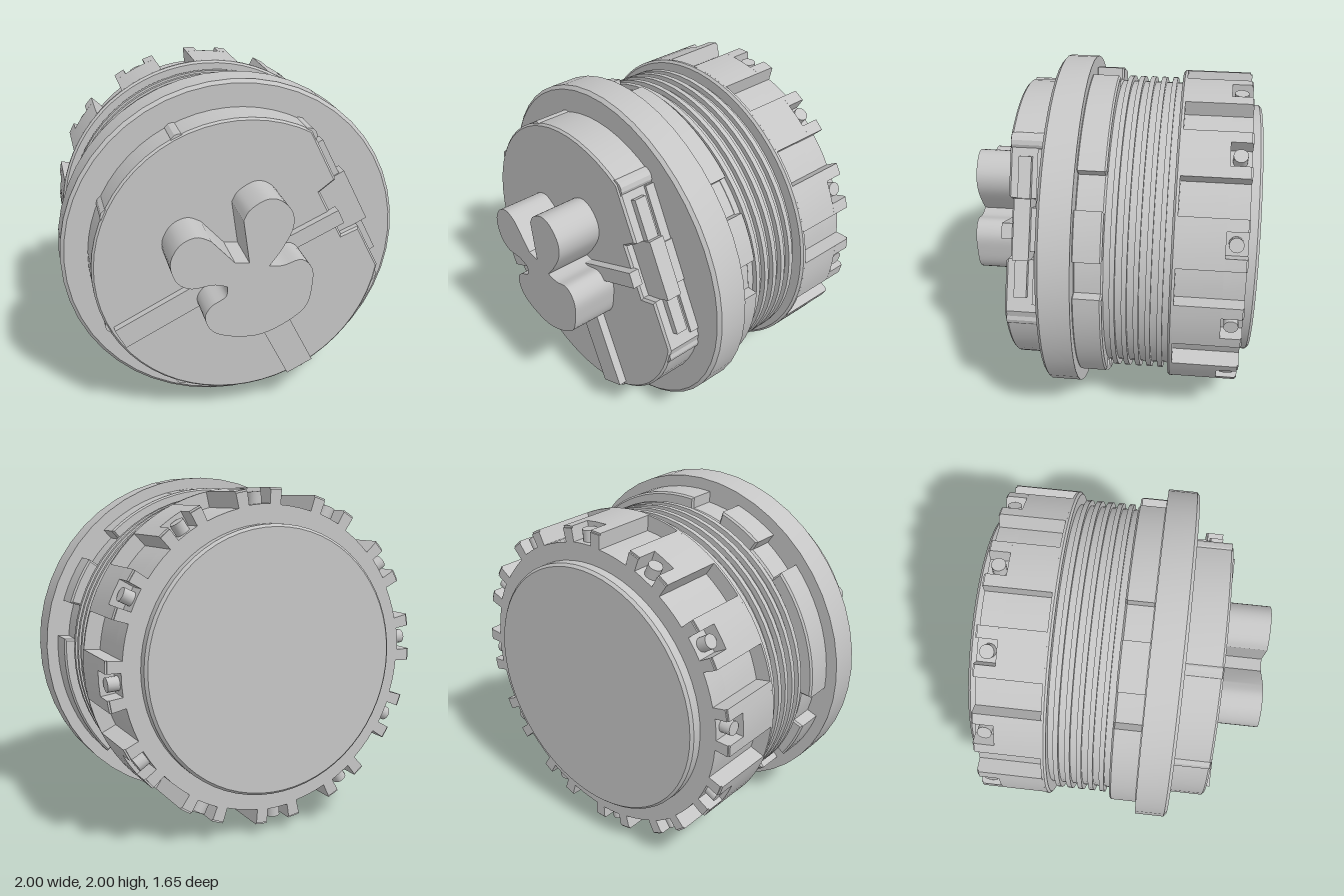
import * as THREE from 'three';
import { toCreasedNormals } from 'three/addons/utils/BufferGeometryUtils.js';

const RAD = Math.PI / 180;

export function createModel() {
  const model = new THREE.Group();
  model.name = 'threadedCap';
  const body = new THREE.Group(); // everything turns about the z axis at y = 1
  body.position.y = 1;
  model.add(body);

  const grey = new THREE.MeshStandardMaterial({ color: 0xc5c5c5 });
  grey.name = 'light grey plastic';

  function add(name, geo, parent = body) {
    const mesh = new THREE.Mesh(toCreasedNormals(geo, 0.5), grey);
    mesh.name = name;
    parent.add(mesh);
    return mesh;
  }
  // Turned part from [radius, z] pairs, z rising
  function turned(name, pts, segs = 48) {
    const geo = new THREE.LatheGeometry(pts.map(p => new THREE.Vector2(p[0], p[1])), segs);
    return add(name, geo.rotateX(Math.PI / 2));
  }
  // Slab of a shape between two z levels, with an optional chamfer
  function slab(name, shape, z0, z1, parent = body, b = 0) {
    const geo = new THREE.ExtrudeGeometry(shape, {
      depth: z1 - z0 - 2 * b, bevelEnabled: b > 0, bevelSize: b, bevelThickness: b,
      bevelOffset: -b, bevelSegments: 1, curveSegments: 10,
    });
    return add(name, geo.translate(0, 0, z0 + b), parent);
  }
  const polar = (r, deg) => new THREE.Vector2(r * Math.cos(deg * RAD), r * Math.sin(deg * RAD));
  // Round outline with notches; cuts are [centre angle, half width, inner radius]
  function notched(r, cuts) {
    const list = [...cuts].sort((p, q) => p[0] - q[0]);
    const pts = [];
    const arc = (rad, a, b) => {
      const n = Math.max(2, Math.ceil((b - a) / 5));
      for (let i = 0; i <= n; i++) pts.push(polar(rad, a + (b - a) * i / n));
    };
    list.forEach(([a, w, rin], i) => {
      const next = list[(i + 1) % list.length];
      const nextStart = next[0] - next[1] + (i === list.length - 1 ? 360 : 0);
      arc(rin, a - w, a + w);
      arc(r, a + w, nextStart);
    });
    return new THREE.Shape(pts);
  }

  // Flange
  turned('flange', [[0, 0.16], [1, 0.16], [1, 0.33], [0.98, 0.347], [0, 0.347]]);

  // Notched collar behind the flange
  const collarCuts = [];
  for (let k = 0; k < 4; k++) collarCuts.push([10.7 + 90 * k, 6.5, 0.87], [40.7 + 90 * k, 6.5, 0.87]);
  slab('collar', notched(0.935, collarCuts), 0, 0.165, body, 0.01);

  // Threaded neck with five rings
  const neck = [[0, -0.37], [0.86, -0.37]];
  for (const z of [-0.31, -0.245, -0.18, -0.115, -0.05]) {
    neck.push([0.86, z - 0.014], [0.89, z - 0.014], [0.89, z + 0.014], [0.86, z + 0.014]);
  }
  neck.push([0.86, 0.01], [0, 0.01]);
  turned('threadedNeck', neck, 60);

  // Castellated rear nut: twelve grip recesses and twelve clip notches
  const grips = [], clips = [];
  for (let k = 0; k < 12; k++) {
    grips.push([10.7 + 30 * k, 6.5, 0.845]);
    clips.push([25.7 + 30 * k, 4.3, 0.85]);
  }
  turned('nutLip', [[0, -0.385], [0.935, -0.385], [0.935, -0.37], [0.922, -0.358], [0, -0.358]], 72);
  slab('nutBody', notched(0.935, grips), -0.64, -0.38);
  slab('nutRear', notched(0.935, [...grips, ...clips]), -0.752, -0.64);
  slab('nutRearEdge', notched(0.925, [...grips, ...clips]), -0.76, -0.75);

  // Round pegs standing in the clip notches
  for (const [a] of clips) {
    const peg = add('clipPeg', new THREE.CylinderGeometry(0.04, 0.04, 0.08, 14));
    const p = polar(0.875, a);
    peg.position.set(p.x, p.y, -0.695);
    peg.rotation.z = (a - 90) * RAD;
  }

  // Rear plate
  turned('rearPlate', [[0, -0.825], [0.73, -0.825], [0.745, -0.81], [0.745, -0.75], [0, -0.75]], 64);

  // Front disc, flattened on one side with a pocket for the latch
  const front = new THREE.Group();
  front.name = 'frontDisc';
  front.rotation.z = 27 * RAD;
  body.add(front);
  const discPts = [];
  for (let i = 0; i <= 48; i++) discPts.push(polar(0.845, 35 + 290 * i / 48));
  for (const [x, y] of [[0.69, -0.19], [0.58, -0.18], [0.58, 0.13], [0.69, 0.15]]) {
    discPts.push(new THREE.Vector2(x, y));
  }
  slab('disc', new THREE.Shape(discPts), 0.335, 0.557, front, 0.012);

  // Box in the disc's turned frame
  function block(name, u0, u1, v0, v1, z0, z1) {
    const geo = new THREE.BoxGeometry(u1 - u0, v1 - v0, z1 - z0);
    add(name, geo.translate((u0 + u1) / 2, (v0 + v1) / 2, (z0 + z1) / 2), front);
  }
  block('latch', 0.57, 0.76, -0.19, 0.15, 0.42, 0.51);
  block('latchBase', 0.57, 0.72, -0.14, 0.1, 0.335, 0.43);
  block('latchRail', 0.68, 0.73, -0.4, 0.38, 0.43, 0.5);
  block('latchFoot', 0.66, 0.71, -0.44, 0.42, 0.335, 0.4);

  // Small bumps around the disc's edge
  for (const a of [62, 115, 155, 204, 245, 297, 347]) {
    const bump = add('edgeBump', new THREE.CylinderGeometry(0.05, 0.05, 0.215, 12));
    const p = polar(0.806, a);
    bump.position.set(p.x, p.y, 0.442);
    bump.rotation.x = Math.PI / 2;
  }

  // Three raised spokes: [angle, outer end, width, sideways shift]
  for (const [a, len, w, shift] of [[25, 0.62, 0.09, -0.025], [207, 0.81, 0.13, 0.03], [296.5, 0.81, 0.17, 0]]) {
    const geo = new THREE.BoxGeometry(len - 0.1, w, 0.06).translate((len + 0.1) / 2, shift, 0.575);
    add('spoke', geo).rotation.z = a * RAD;
  }

  // Lobed grip knob
  const knob = new THREE.Shape();
  const curve = pts => knob.splineThru(pts.map(p => new THREE.Vector2(p[0], p[1])));
  knob.moveTo(-0.02, 0.12);
  knob.lineTo(-0.1, 0.13);
  knob.lineTo(-0.23, 0.27);
  curve([[-0.31, 0.3], [-0.4, 0.26], [-0.45, 0.16], [-0.42, 0.05], [-0.34, 0], [-0.22, 0.01], [-0.14, -0.01]]);
  curve([[-0.15, -0.07], [-0.23, -0.12], [-0.265, -0.19], [-0.22, -0.28], [-0.1, -0.325], [0.05, -0.33],
    [0.2, -0.27], [0.31, -0.18], [0.34, -0.05], [0.335, 0.05], [0.27, 0.11], [0.17, 0.085], [0.09, 0.09]]);
  curve([[0.15, 0.17], [0.215, 0.29], [0.215, 0.39], [0.15, 0.465], [0.07, 0.48], [-0.02, 0.43], [-0.055, 0.37]]);
  knob.lineTo(-0.02, 0.12);
  const knobGeo = new THREE.ExtrudeGeometry(knob, { depth: 0.275, bevelEnabled: false, curveSegments: 4 });
  add('gripKnob', knobGeo.translate(0, 0, 0.55));

  return model;
}
